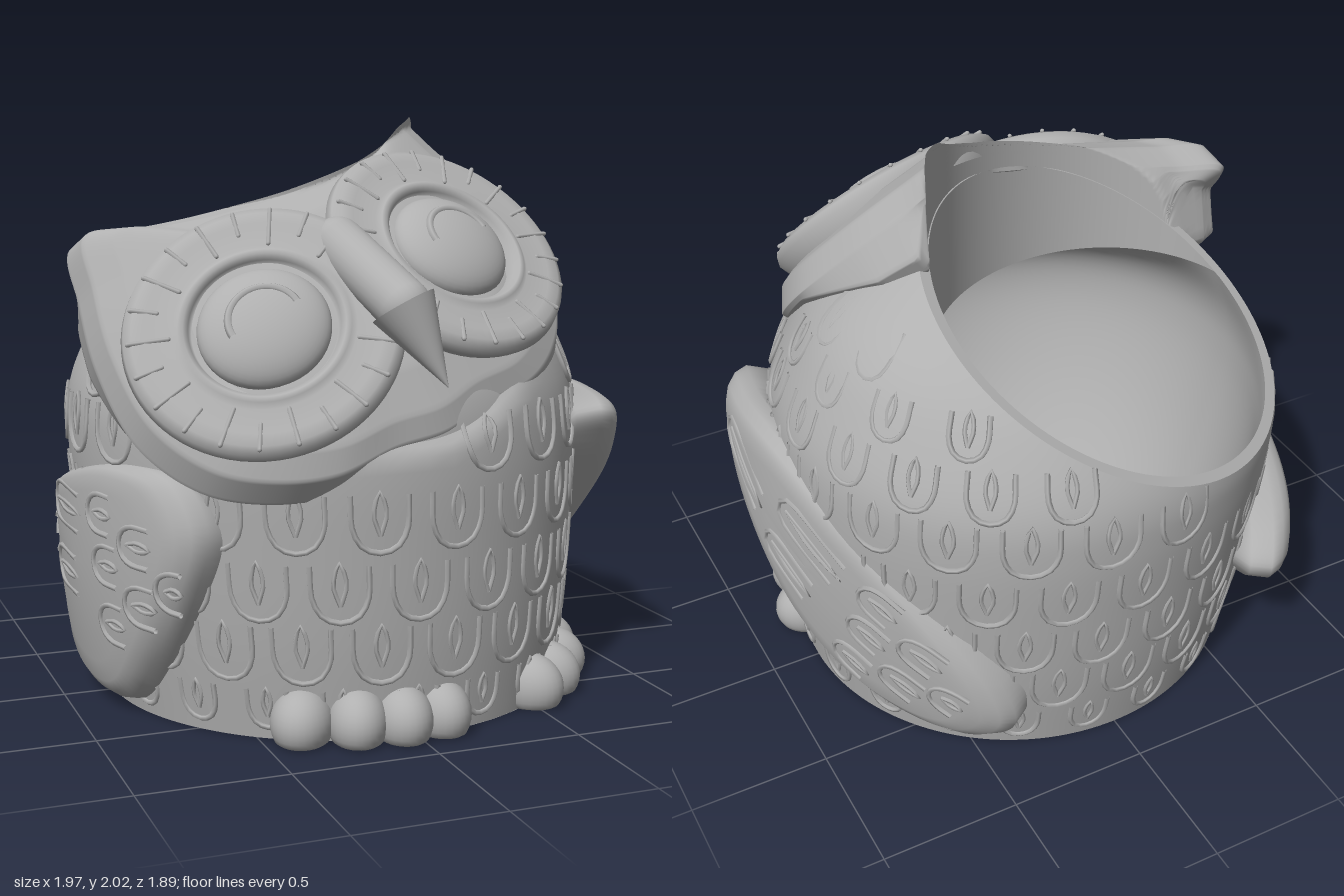
import * as THREE from 'three';
import { mergeGeometries } from 'three/addons/utils/BufferGeometryUtils.js';

const V = (x, y, z) => new THREE.Vector3(x, y, z);
const TAU = Math.PI * 2;
const clay = new THREE.MeshStandardMaterial({ color: 0xb0b0b0, side: THREE.DoubleSide });
clay.name = 'grey clay';

// Tilted head frame: R to its left side, U to the crown, N out of the face
const C = V(-0.12, 1.465, 0.545);
const R = V(0.93, 0.3, -0.21).normalize();
const N = V(0, 0.62, 0.77).addScaledVector(R, -V(0, 0.62, 0.77).dot(R)).normalize();
const U = N.clone().cross(R);
const headPoint = (u, v, n) => C.clone().addScaledVector(R, u).addScaledVector(U, v).addScaledVector(N, n);

// Slanted mouth of the pot: a circle squashed along its slope when seen from above
const MX = -0.21, MZ = -0.29, MR = 0.67, MIN = 0.632, LIP = 1.29;
const rimY = (x, z) => 1.08 + 0.34 * (x + 0.21) + 0.49 * (z + 0.94);
function squash(x, z, k) {
  const q = k * (x * 0.57 + z * 0.82);
  return [x + q * 0.57, z + q * 0.82];
}
function mouthPoint(r, a) {
  const [dx, dz] = squash(r * Math.sin(a), r * Math.cos(a), -0.09);
  return V(MX + dx, rimY(MX + dx, MZ + dz), MZ + dz);
}

// Body radius at each height
const profilePoints = new THREE.SplineCurve([
  [0, 0.82], [0.3, 0.865], [0.6, 0.895], [0.9, 0.915], [1.1, 0.9], [1.3, 0.82], [1.45, 0.73], [1.57, 0.6], [1.72, 0.36],
].map(p => new THREE.Vector2(...p))).getPoints(240);
function radius(y) {
  let i = 1;
  while (i < 240 && profilePoints[i].x < y) i++;
  const a = profilePoints[i - 1], b = profilePoints[i];
  return THREE.MathUtils.lerp(a.y, b.y, THREE.MathUtils.clamp((y - a.x) / (b.x - a.x), 0, 1));
}
const shift = y => -0.03 * Math.min(y, 1);

// Keep the body wall behind the face
function behindFace(p, limit) {
  const n = p.clone().sub(C).dot(N);
  return n > limit ? p.addScaledVector(N, limit - n) : p;
}
function bodySurface(angle, y, out) {
  const r = radius(y) + out;
  return behindFace(V(shift(y) + r * Math.sin(angle), y, shift(y) + r * Math.cos(angle)), -0.06 + out);
}
// Keep attached parts out of the hollow inside
function outOfHollow(p) {
  const s = shift(p.y), d = Math.hypot(p.x - s, p.z - s), r = radius(p.y) - 0.035;
  if (d < r) p.set(s + (p.x - s) * r / d, p.y, s + (p.z - s) * r / d);
  return p;
}

// Closed rings joined into one smooth surface
function rings(rows, cols, fn) {
  const pos = [], idx = [];
  for (let i = 0; i < rows; i++) for (let j = 0; j < cols; j++) pos.push(...fn(i / (rows - 1), j / cols, i).toArray());
  for (let i = 0; i < rows - 1; i++) for (let j = 0; j < cols; j++) {
    const k = (j + 1) % cols, a = i * cols + j, b = i * cols + k;
    idx.push(a, b, b + cols, a, b + cols, a + cols);
  }
  const g = new THREE.BufferGeometry();
  g.setAttribute('position', new THREE.Float32BufferAttribute(pos, 3));
  g.setIndex(idx);
  g.computeVertexNormals();
  return g;
}
const mesh = (name, geo, parent) => {
  const m = new THREE.Mesh(geo, clay);
  m.name = name;
  parent.add(m);
  return m;
};
const closedCurve = pts => new THREE.CatmullRomCurve3(pts.map(p => V(p[0], p[1], 0)), true);
const tube = (pts, r, n) => new THREE.TubeGeometry(new THREE.CatmullRomCurve3(pts), n, r, 5);

// One feather mark, drawn through a map from local (across, along) to the surface
function feather(map, w, len, list) {
  const arc = [[-w, len], [-w * 0.95, w * 0.8], [-w * 0.6, w * 0.2], [0, 0], [w * 0.6, w * 0.2], [w * 0.95, w * 0.8], [w, len]];
  list.push(tube(arc.map(p => map(...p)), 0.01, 14));
  const lo = w * 0.6, hi = len * 1.05, mid = (lo + hi) / 2, q = w * 0.22;
  list.push(tube([[0, lo], [q, mid], [0, hi], [-q, mid], [0, lo]].map(p => map(...p)), 0.008, 10));
}

// Pot wall from base (t = 0) to mouth (t = 1); the inside stops at the lip under the head
function wallPoint(t, a, inner) {
  const m = mouthPoint(inner ? MIN : MR, a);
  const top = inner ? Math.min(m.y, LIP) : m.y;
  const base = inner ? 0.16 : 0;
  const y = base + t * (top - base), s = shift(y), st = shift(top);
  const ang = Math.atan2(m.x - st, m.z - st), rTop = Math.hypot(m.x - st, m.z - st);
  const inset = inner ? 0.06 : 0, low = inner ? Math.pow(1 - t, 3) : 0;
  let r = radius(y) - inset + Math.pow(t, inner ? 10 : 6) * (rTop - radius(top) + inset);
  r = THREE.MathUtils.lerp(r, 0.58, low);
  return behindFace(V(s - 0.04 * low + r * Math.sin(ang), y, s - 0.08 * low + r * Math.cos(ang)), inner ? -0.12 : -0.06);
}

function buildBody(root) {
  mesh('bodyWall', rings(40, 128, (t, s) => wallPoint(t, s * TAU, false)), root);
  mesh('innerWall', rings(36, 128, (t, s) => wallPoint(1 - t, s * TAU, true)), root);
  mesh('mouthWall', rings(2, 128, (t, s) => t ? wallPoint(1, s * TAU, true) : mouthPoint(MIN, s * TAU)), root);
  mesh('rim', rings(2, 128, (t, s) => t ? mouthPoint(MIN, s * TAU) : wallPoint(1, s * TAU, false)), root);
  mesh('underside', new THREE.CircleGeometry(0.82, 96).rotateX(Math.PI / 2), root);
  const floor = [[0.6, 0.165], [0.5, 0.14], [0.38, 0.12], [0.22, 0.105], [0.19, 0.085], [0, 0.075]];
  mesh('potFloor', rings(6, 64, (t, s, i) => V(floor[i][0] * Math.sin(s * TAU) - 0.04, floor[i][1], floor[i][0] * Math.cos(s * TAU) - 0.08)), root);

  // Staggered rows of feather marks
  const list = [];
  [0.04, 0.2, 0.41, 0.64, 0.88, 1.09, 1.28, 1.42].forEach((y, row) => {
    const count = row > 5 ? 18 : 21;
    for (let i = 0; i < count; i++) {
      const a = (i + (row % 2) * 0.5) / count * TAU, r = radius(y + 0.06);
      const p = bodySurface(a, y + 0.08, 0), d = p.clone().sub(C), v = d.dot(U);
      if (p.y + 0.09 > rimY(p.x, p.z)) continue;
      if (v > -0.6 && d.dot(N) > -0.36 - 0.3 * v) continue;
      const size = row === 0 || row > 5 ? 0.7 : row === 5 ? 0.85 : 1;
      feather((x, h) => bodySurface(a + x / r, y + h, 0), 0.095 * size, 0.19 * size, list);
    }
  });
  mesh('bodyFeathers', mergeGeometries(list), root);
}

function buildHead(root) {
  const half = [[0, -0.6], [0.2, -0.57], [0.42, -0.56], [0.6, -0.48], [0.75, -0.34], [0.84, -0.1], [0.82, 0.2], [0.75, 0.44], [0.675, 0.63], [0.5, 0.56], [0.27, 0.5], [0, 0.47]];
  const outline = closedCurve([...half, ...half.slice(1, -1).reverse().map(p => [-p[0], p[1]])]);
  // Layers from back centre to face centre: scale, depth, 1 = uses the back depth
  const layers = [[0, 0, 1], [0.5, 0, 1], [0.9, 0, 1], [0.98, 0.03, 1], [1, -0.14, 0], [0.96, -0.05, 0], [0.85, 0, 0], [0.6, 0.05, 0], [0.3, 0.08, 0], [0, 0.09, 0]];
  const backDepth = (u, v) => Math.min(-0.36 - 0.3 * Math.min(v, 0.25) + 1.7 * Math.max(0, v - 0.42), -0.19 - 0.2 * u * u);
  const depth = (l, u, v) => l[1] + (l[2] ? backDepth(u, v) : -0.2 * u * u);
  const steps = 9, rows = (layers.length - 1) * steps + 1;
  mesh('head', rings(rows, 240, (t, s, i) => {
    const k = Math.min(Math.floor(i / steps), layers.length - 2), f = i / steps - k;
    const a = layers[k], b = layers[k + 1], o = outline.getPoint(s);
    const sc = THREE.MathUtils.lerp(a[0], b[0], f), u = o.x * sc, v = o.y * sc;
    const p = headPoint(u, v, THREE.MathUtils.lerp(depth(a, u, v), depth(b, u, v), f));
    if (k < 3 && p.y < LIP + 0.02) outOfHollow(p);
    // Carve the pot's mouth into the back of the head
    const [dx, dz] = squash(p.x - MX, p.z - MZ, 0.099), d = Math.hypot(dx, dz), m = MIN + 0.004;
    if (d < m) p.set(MX + (p.x - MX) * m / d, p.y, MZ + (p.z - MZ) * m / d);
    return p;
  }), root);

  // Eye discs with lashes and closed lids
  const disc = [[0.41, -0.09], [0.432, -0.04], [0.425, -0.01], [0.4, 0.008], [0.36, 0.012], [0.28, 0.006], [0.262, 0.022], [0.245, 0.024], [0.23, 0.008], [0.22, -0.02], [0, -0.03]];
  for (const side of [1, -1]) {
    const eye = new THREE.Group();
    eye.name = side > 0 ? 'leftEye' : 'rightEye';
    const n = N.clone().addScaledVector(R, 0.25 * side).normalize();
    const x = U.clone().cross(n).normalize();
    eye.quaternion.setFromRotationMatrix(new THREE.Matrix4().makeBasis(x, n, x.clone().cross(n)));
    eye.position.copy(headPoint(0.385 * side, -0.025, 0.035));
    eye.scale.x = 1.07;
    root.add(eye);
    mesh('eyeDisc', new THREE.LatheGeometry(disc.map(p => new THREE.Vector2(...p)), 72), eye);
    const ball = mesh('eyeball', new THREE.SphereGeometry(0.205, 40, 24), eye);
    ball.scale.y = 0.45;
    ball.position.y = -0.015;
    const lid = mesh('eyelidLine', new THREE.TorusGeometry(0.11, 0.013, 6, 24, Math.PI).rotateX(-Math.PI / 2), eye);
    lid.position.y = 0.06;
    const lashes = [];
    for (let i = 0; i < 22; i++) {
      const len = i % 2 ? 0.12 : 0.08;
      lashes.push(new THREE.CapsuleGeometry(0.008, len, 3, 6).rotateZ(Math.PI / 2)
        .translate(0.41 - len / 2, 0.007, 0).rotateY((i + 0.5) / 22 * TAU));
    }
    mesh('lashes', mergeGeometries(lashes), eye);
  }

  // Beak: rounded bridge and pointed tip
  const between = (m, a, b) => {
    m.position.copy(a).add(b).multiplyScalar(0.5);
    m.quaternion.setFromUnitVectors(V(0, 1, 0), b.clone().sub(a).normalize());
  };
  const top = V(-0.17, 1.6, 0.53), mid = V(-0.06, 1.42, 0.82), tip = V(0.055, 1.165, 0.92);
  between(mesh('beakBridge', new THREE.CapsuleGeometry(0.09, top.distanceTo(mid), 8, 24), root), top, mid);
  between(mesh('beakTip', new THREE.ConeGeometry(0.11, mid.distanceTo(tip), 32, 6), root), mid, tip);
}

// Wing: rounded slab over the body's side; s runs towards its pointed tip
function buildWing(root, name, side, outlinePts, centre, tip, dir, peak, bend) {
  const outline = closedCurve(outlinePts);
  const place = (s, y, off) => V(side * (0.975 - bend * (s - peak) ** 2 - 0.17 * (y - 0.65) ** 2 + off), y, side * s);
  const layers = [[0, -0.32], [0.2, -0.32], [0.4, -0.31], [0.6, -0.31], [0.8, -0.3], [0.95, -0.18], [1, -0.09], [0.98, -0.045], [0.93, -0.015],
    [0.86, 0], [0.72, 0], [0.58, 0], [0.44, 0], [0.3, 0], [0.15, 0], [0, 0]];
  const wing = new THREE.Group();
  wing.name = name;
  root.add(wing);
  mesh('wingShape', rings(layers.length, 96, (t, f, i) => {
    const o = outline.getPoint(1 - f), [k, off] = layers[i];
    return outOfHollow(place(centre[0] + (o.x - centre[0]) * k, centre[1] + (o.y - centre[1]) * k, off));
  }), wing);
  // Long marks near the tip, short ones near the round end: along, across, length
  const list = [];
  for (const [p, q, len] of [[0.19, 0.04, 0.34], [0.6, 0.2, 0.32], [0.62, -0.03, 0.26], [1.0, 0.24, 0.14], [1.04, 0.07, 0.14],
    [1.2, 0.17, 0.14], [1.06, -0.13, 0.14], [1.22, -0.03, 0.14], [1.37, 0.05, 0.1]]) {
    feather((a, l) => place(tip[0] + dir[0] * (p + l) + dir[1] * (q + a), tip[1] + dir[1] * (p + l) - dir[0] * (q + a), 0),
      0.065, len, list);
  }
  mesh('wingFeathers', mergeGeometries(list), wing);
}

// Rounded toes, flat on the ground
function buildFoot(root, name, toes) {
  const foot = new THREE.Group();
  foot.name = name;
  root.add(foot);
  for (const [x, z, w] of toes) {
    const g = new THREE.SphereGeometry(1, 28, 18).scale(w, 0.115, 0.13);
    g.rotateY(Math.atan2(x, z)).translate(x, 0.065, z);
    const p = g.attributes.position;
    for (let i = 0; i < p.count; i++) p.setY(i, Math.max(0, p.getY(i)));
    g.computeVertexNormals();
    mesh('toe', g, foot);
  }
}

export function createModel() {
  const root = new THREE.Group();
  root.name = 'owlPlanter';
  buildBody(root);
  buildHead(root);
  buildWing(root, 'leftWing', 1, [[0.54, 1.0], [0.3, 1.05], [0, 1.05], [-0.3, 0.93], [-0.6, 0.69], [-0.8, 0.38], [-0.82, 0.18],
    [-0.7, 0.07], [-0.4, 0.1], [-0.1, 0.28], [0.2, 0.58], [0.48, 0.87]], [-0.2, 0.63], [0.54, 1.0], [-0.85, -0.53], 0.2, 0.42);
  buildWing(root, 'rightWing', -1, [[0.86, 0.5], [0.78, 0.6], [0.4, 0.71], [0, 0.82], [-0.35, 0.89], [-0.58, 0.86], [-0.68, 0.7],
    [-0.61, 0.46], [-0.46, 0.22], [-0.28, 0.05], [0, 0.03], [0.3, 0.11], [0.65, 0.29]], [-0.05, 0.5], [0.8, 0.5], [-1, -0.03], 0.05, 0.41);
  buildFoot(root, 'rightFoot', [[-0.37, 0.73, 0.105], [-0.2, 0.79, 0.1], [-0.05, 0.81, 0.1], [0.09, 0.79, 0.1]]);
  buildFoot(root, 'leftFoot', [[0.49, 0.65, 0.1], [0.61, 0.54, 0.1], [0.71, 0.39, 0.1], [0.77, 0.2, 0.105]]);
  return root;
}
